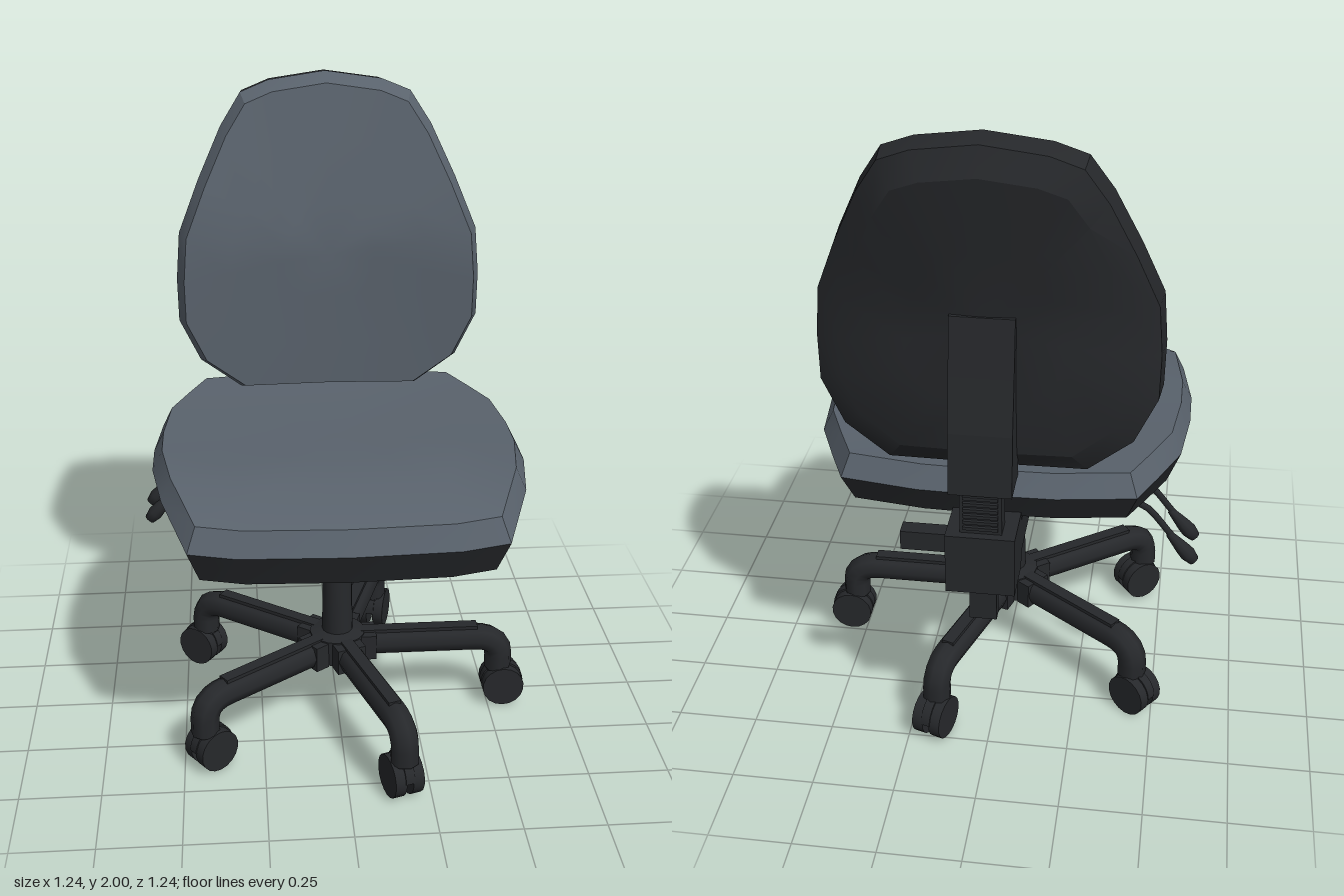
import * as THREE from 'three';
import { toCreasedNormals } from 'three/addons/utils/BufferGeometryUtils.js';

const fabric = new THREE.MeshStandardMaterial({ color: 0x59626c });
const black = new THREE.MeshStandardMaterial({ color: 0x26282b });
const V = (x, y, z) => new THREE.Vector3(x, y, z);

function add(parent, name, geometry, material = black, x = 0, y = 0, z = 0) {
  const mesh = new THREE.Mesh(geometry, material);
  mesh.name = name;
  mesh.position.set(x, y, z);
  parent.add(mesh);
  return mesh;
}

const box = (parent, name, w, h, d, x, y, z) =>
  add(parent, name, new THREE.BoxGeometry(w, h, d), black, x, y, z);

// Skin a list of closed rings; rings shrunk to a point close the ends.
function loft(rings, crease = 0.45) {
  const pos = [];
  const tri = (a, b, c) => {
    if (a.distanceTo(b) > 1e-5 && b.distanceTo(c) > 1e-5 && c.distanceTo(a) > 1e-5)
      for (const p of [a, b, c]) pos.push(p.x, p.y, p.z);
  };
  for (let r = 0; r < rings.length - 1; r++) {
    const lo = rings[r], hi = rings[r + 1], n = lo.length;
    for (let i = 0; i < n; i++) {
      const j = (i + 1) % n;
      tri(lo[i], lo[j], hi[j]);
      tri(lo[i], hi[j], hi[i]);
    }
  }
  const g = new THREE.BufferGeometry();
  g.setAttribute('position', new THREE.Float32BufferAttribute(pos, 3));
  return toCreasedNormals(g, crease);
}

// Complete a half outline (x >= 0, both ends on the centre line) by mirroring.
const mirrorOutline = (half) =>
  [...half, ...half.slice(1, -1).reverse().map(([x, v]) => [-x, v])];

// Seat: grey cushion over a dark shell, nose dropping at the front
function addSeat(chair) {
  const outline = mirrorOutline([[0, 0.58], [0.32, 0.572], [0.46, 0.55], [0.535, 0.36], [0.567, 0.15],
    [0.567, 0], [0.545, -0.2], [0.485, -0.34], [0.43, -0.46], [0.2, -0.495], [0, -0.5]]);
  const ring = (scale, y, rise = 0) => outline.map(([x, v]) => {
    const z = 0.04 + (v - 0.04) * scale;
    return V(x * scale, y - 0.4 * Math.max(0, z - 0.35) + rise * Math.max(0, -z), z);
  });
  const seat = new THREE.Group();
  seat.name = 'seat';
  chair.add(seat);
  add(seat, 'seatCushion', loft([ring(1, 0.92), ring(0.945, 0.982, 0.015), ring(0.65, 0.976), ring(0.3, 0.97), ring(0, 0.968)]), fabric);
  add(seat, 'seatShell', loft([ring(0, 0.805), ring(0.62, 0.805, 0.06), ring(0.93, 0.805, 0.06), ring(1, 0.92)]));
}

// Backrest: curved pad leaning back above the lumbar, with a dark rear shell
function addBackrest(chair) {
  const outline = mirrorOutline([[0, 0.99], [0.29, 0.99], [0.42, 1.09], [0.485, 1.23], [0.487, 1.37],
    [0.475, 1.52], [0.41, 1.68], [0.335, 1.84], [0.27, 1.94], [0.18, 1.975], [0, 2]]);
  const ring = (scale, z, wrap) => outline.map(([x, v]) => {
    const px = x * scale, py = 1.45 + (v - 1.45) * scale;
    return V(px, py, z - 0.23 * Math.max(0, py - 1.5) + wrap * (px / 0.47) ** 2);
  });
  const back = new THREE.Group();
  back.name = 'backrest';
  chair.add(back);
  add(back, 'backCushion', loft([ring(1, -0.365, 0.025), ring(0.95, -0.305, 0.035),
    ring(0.65, -0.305, 0.035), ring(0.3, -0.305, 0.035), ring(0, -0.305, 0)]), fabric);
  add(back, 'backShell', loft([ring(0, -0.52, 0), ring(0.45, -0.518, 0.03), ring(0.84, -0.5, 0.03),
    ring(0.98, -0.45, 0.01), ring(1, -0.365, 0.025)]));
}

// Under-seat mechanism, rear bracket and height-adjustable back support
function addMechanism(chair) {
  box(chair, 'mechanismBox', 0.2, 0.11, 0.61, 0, 0.765, -0.17);
  box(chair, 'rearBracket', 0.2, 0.19, 0.15, 0, 0.755, -0.54);
  box(chair, 'bracketKnob', 0.14, 0.06, 0.05, 0.165, 0.8, -0.555);
  box(chair, 'postTail', 0.08, 0.14, 0.036, 0, 0.6, -0.543);
  box(chair, 'backPost', 0.12, 0.2, 0.07, 0, 0.92, -0.555);
  for (let i = 0; i < 6; i++)
    box(chair, 'postRib', 0.1, 0.01, 0.012, 0, 0.87 + i * 0.02, -0.594);
  const side = new THREE.Shape([[-0.47, 0.98], [-0.47, 1.5], [-0.535, 1.5], [-0.56, 1.33],
    [-0.59, 1.17], [-0.6, 0.98]].map(([z, y]) => new THREE.Vector2(z, y)));
  const strut = new THREE.ExtrudeGeometry(side, { depth: 0.18, bevelEnabled: false });
  strut.translate(0, 0, -0.09).rotateY(-Math.PI / 2);
  add(chair, 'backStrut', strut);
}

// Two adjusting levers on the right-hand side
function addLevers(chair) {
  const handle = new THREE.LatheGeometry([[0, 0], [0.017, 0.006], [0.024, 0.035], [0.021, 0.065],
    [0.011, 0.125], [0, 0.13]].map(([r, y]) => new THREE.Vector2(r, y)), 10);
  const bend = V(-0.44, 0.79, 0), tip = V(-0.608, 0.598, 0);
  const path = new THREE.CatmullRomCurve3([V(-0.08, 0.77, 0), V(-0.36, 0.795, 0), bend, V(-0.54, 0.68, 0)]);
  for (const z of [-0.16, -0.287]) {
    const lever = new THREE.Group();
    lever.name = 'lever';
    lever.position.z = z;
    chair.add(lever);
    add(lever, 'leverRod', new THREE.TubeGeometry(path, 16, 0.01, 6));
    add(lever, 'leverHandle', handle, black, tip.x, tip.y, 0)
      .quaternion.setFromUnitVectors(V(0, 1, 0), bend.clone().sub(tip).normalize());
  }
}

// Gas column and hub as one stepped turning
function addColumn(chair) {
  const profile = [[0, 0.165], [0.03, 0.165], [0.03, 0.2], [0.09, 0.2], [0.09, 0.285], [0.05, 0.295], [0.046, 0.54],
    [0.036, 0.54], [0.036, 0.64], [0.024, 0.64], [0.024, 0.72], [0, 0.72]].map(([r, y]) => new THREE.Vector2(r, y));
  add(chair, 'gasColumn', toCreasedNormals(new THREE.LatheGeometry(profile, 16), 0.6), black, 0, 0, 0.055);
}

// Five-arm base with twin-wheel casters
function addBase(chair) {
  const path = new THREE.CurvePath();
  path.add(new THREE.LineCurve3(V(0.04, 0.24, 0), V(0.45, 0.24, 0)));
  path.add(new THREE.QuadraticBezierCurve3(V(0.45, 0.24, 0), V(0.535, 0.24, 0), V(0.535, 0.17, 0)));
  path.add(new THREE.LineCurve3(V(0.535, 0.17, 0), V(0.535, 0.125, 0)));
  const armGeo = new THREE.TubeGeometry(path, 24, 0.045, 8);
  const wheel = toCreasedNormals(new THREE.CylinderGeometry(0.068, 0.068, 0.036, 18).rotateX(Math.PI / 2), 0.6);
  const hood = toCreasedNormals(new THREE.CylinderGeometry(0.07, 0.07, 0.03, 16, 1, false, 0, Math.PI)
    .rotateX(Math.PI / 2).rotateZ(Math.PI / 2), 0.6);
  const swivel = [0, Math.PI, Math.PI, 0, 0];
  for (let i = 0; i < 5; i++) {
    const arm = new THREE.Group();
    arm.name = 'baseArm';
    arm.position.z = 0.055;
    arm.rotation.y = -i * Math.PI * 2 / 5;
    chair.add(arm);
    add(arm, 'armTube', armGeo);
    box(arm, 'armRidge', 0.4, 0.016, 0.04, 0.26, 0.28, 0);
    box(arm, 'armCollar', 0.05, 0.085, 0.095, 0.1, 0.238, 0);
    const caster = new THREE.Group();
    caster.name = 'caster';
    caster.position.x = 0.532;
    caster.rotation.y = swivel[i];
    arm.add(caster);
    add(caster, 'casterStem', new THREE.CylinderGeometry(0.036, 0.036, 0.06, 10), black, 0, 0.13, 0);
    add(caster, 'casterHood', hood, black, 0.018, 0.072, 0);
    add(caster, 'casterAxle', new THREE.CylinderGeometry(0.02, 0.02, 0.08, 8).rotateX(Math.PI / 2), black, 0.018, 0.068, 0);
    for (const s of [-1, 1]) add(caster, 'casterWheel', wheel, black, 0.018, 0.068, s * 0.029);
  }
}

export function createModel() {
  const chair = new THREE.Group();
  chair.name = 'officeChair';
  addSeat(chair);
  addBackrest(chair);
  addMechanism(chair);
  addLevers(chair);
  addColumn(chair);
  addBase(chair);
  return chair;
}
